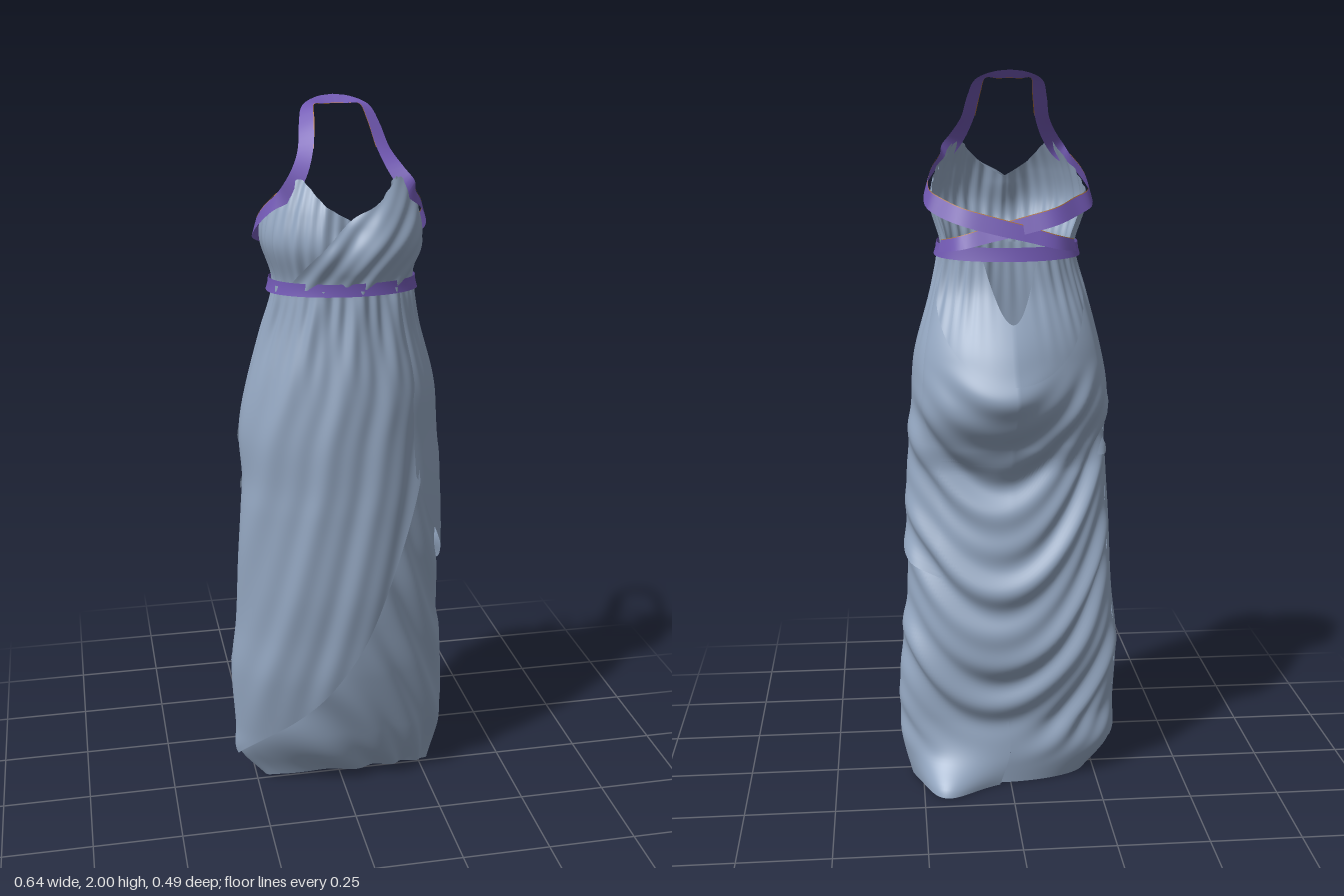
import * as THREE from 'three';
import { mergeVertices } from 'three/addons/utils/BufferGeometryUtils.js';

const RAD = Math.PI / 180;
const { sin, cos, exp, abs, max, min, PI } = Math;
const smooth = THREE.MathUtils.smoothstep;

// Body sections: [y, right x, left x, front z, back z, centre z]
const SECTIONS = [
  [0.00, -0.22, 0.28, 0.03, -0.12, -0.02],
  [0.10, -0.30, 0.305, 0.095, -0.13, -0.02],
  [0.20, -0.305, 0.315, 0.135, -0.125, -0.01],
  [0.40, -0.315, 0.305, 0.185, -0.165, 0.00],
  [0.55, -0.30, 0.29, 0.205, -0.165, 0.01],
  [0.70, -0.29, 0.28, 0.22, -0.15, 0.02],
  [0.92, -0.28, 0.27, 0.225, -0.115, 0.03],
  [1.00, -0.275, 0.265, 0.225, -0.155, 0.03],
  [1.13, -0.28, 0.255, 0.225, -0.228, 0.02],
  [1.25, -0.26, 0.245, 0.22, -0.19, 0.02],
  [1.41, -0.215, 0.205, 0.205, -0.095, 0.03],
  [1.50, -0.19, 0.185, 0.20, -0.07, 0.05],
  [1.55, -0.185, 0.18, 0.20, -0.068, 0.05],
  [1.65, -0.215, 0.205, 0.23, -0.07, 0.05],
  [1.73, -0.205, 0.195, 0.215, -0.07, 0.04],
  [1.82, -0.17, 0.165, 0.17, -0.07, 0.04],
];

// Smooth cubic lookup: rows start with the key, the rest are values
function lookup(rows, key) {
  const n = rows.length;
  const t = min(max(key, rows[0][0]), rows[n - 1][0]);
  let i = 0;
  while (i < n - 2 && t > rows[i + 1][0]) i++;
  const a = rows[i], b = rows[i + 1], h = b[0] - a[0], s = (t - a[0]) / h;
  const slope = (k, c) => {
    const p = rows[max(k - 1, 0)], q = rows[min(k + 1, n - 1)];
    return (q[c] - p[c]) / (q[0] - p[0]);
  };
  return a.slice(1).map((v, j) => {
    const s2 = s * s, s3 = s2 * s;
    return v * (2 * s3 - 3 * s2 + 1) + b[j + 1] * (3 * s2 - 2 * s3)
      + h * (slope(i, j + 1) * (s3 - 2 * s2 + s) + slope(i + 1, j + 1) * (s3 - s2));
  });
}

// Point on the body at angle a (0 = front, +90 degrees = left), pushed out by d
function bodyPoint(a, y, d) {
  const [xr, xl, zf, zb, cz] = lookup(SECTIONS, y);
  const s = sin(a);
  // squarer back around the waist
  const c = cos(a) > 0 ? cos(a) : -(abs(cos(a)) ** (1 - 0.4 * smooth(y, 1.4, 1.54)));
  let x = (xl + xr) / 2 + ((xl - xr) / 2 + d) * s;
  let z = cz + ((c > 0 ? zf - cz : cz - zb) + d) * c;
  // trailing hem corner
  const tail = exp(-(((a - 2.55) / 0.42) ** 2) - (y / 0.07) ** 2);
  x += 0.02 * tail;
  z -= 0.10 * tail;
  // flatter right hip at the back
  z += 0.08 * max(0, -s) * max(0, -c) * exp(-(((y - 1.13) / 0.2) ** 2));
  // hollow between the cups
  z -= 0.035 * exp(-((a / 0.25) ** 2)) * smooth(y, 1.58, 1.7);
  return [x, y, z];
}

function meshFrom(name, material, pos, index) {
  let g = new THREE.BufferGeometry();
  g.setAttribute('position', new THREE.Float32BufferAttribute(pos, 3));
  g.setIndex(index);
  g = mergeVertices(g, 1e-5);
  g.computeVertexNormals();
  const mesh = new THREE.Mesh(g, material);
  mesh.name = name;
  return mesh;
}

// Cloth sheet between two heights over a range of angles
function sheet(name, material, { from, to, bottom, top, push, cols = 140, rows = 90 }) {
  const pos = [], index = [];
  for (let j = 0; j <= rows; j++) for (let i = 0; i <= cols; i++) {
    const a = from + (to - from) * i / cols;
    const y0 = bottom(a), y = y0 + (top(a) - y0) * j / rows;
    pos.push(...bodyPoint(a, y, push(a, y)));
    if (i < cols && j < rows) {
      const k = j * (cols + 1) + i, m = k + cols + 1;
      index.push(k, k + 1, m + 1, k, m + 1, m);
    }
  }
  return meshFrom(name, material, pos, index);
}

// Flat ribbon between two offsets along each row's half-width vector
function ribbon(name, material, rows, mirror, from = -1, to = 1, n = 80) {
  const edge = (k) => new THREE.CatmullRomCurve3(rows.map(([x, y, z, u, v, w]) =>
    new THREE.Vector3((x + k * u) * mirror, y + k * v, z + k * w)));
  const lo = edge(from), hi = edge(to), pos = [], index = [];
  for (let i = 0; i <= n; i++) {
    pos.push(...lo.getPoint(i / n).toArray(), ...hi.getPoint(i / n).toArray());
    const k = 2 * i;
    if (i < n) index.push(...(mirror > 0
      ? [k, k + 2, k + 3, k, k + 3, k + 1] : [k, k + 3, k + 2, k, k + 1, k + 3]));
  }
  return meshFrom(name, material, pos, index);
}

function colour(name, hex) {
  const m = new THREE.MeshStandardMaterial({ color: hex, side: THREE.DoubleSide });
  m.name = name;
  return m;
}

export function createModel() {
  const cloth = colour('blue grey cloth', 0x93a6c0);
  const purple = colour('purple ribbon', 0x7259b4);
  const orange = colour('orange trim', 0xb5722e);
  const dress = new THREE.Group();
  dress.name = 'dress';

  // Waist, with a small V opening at the centre back
  const waist = (a) => 1.54 - 0.2 * smooth(abs(a), 148 * RAD, 180 * RAD);
  const gathers = (a, y) => (0.002 * sin(a * 37 + y * 6) + 0.0015 * sin(a * 23 - y * 9))
    * smooth(y, 1.2, 1.5) * (1 - smooth(abs(a), 150 * RAD, 175 * RAD));
  // U-shaped swags across the back
  const swags = (a, y) => {
    const back = smooth(abs(a), 70 * RAD, 130 * RAD) * smooth(y, 0.05, 0.25) * (1 - smooth(y, 1.05, 1.25));
    const p = y - 0.3 * sin(a) ** 2 + 0.05 * sin(a);
    return back * (0.008 * sin(34 * p) + 0.006 * sin(55 * p + 2 * sin(a)));
  };

  dress.add(sheet('skirt', cloth, {
    from: -PI, to: PI, cols: 200, rows: 150, top: waist,
    bottom: (a) => 0.004 + 0.025 * max(0, cos(a)) ** 1.5,
    push: (a, y) => {
      const front = 1 - smooth(abs(a), 60 * RAD, 95 * RAD);
      const arcs = 0.009 * sin(24 * (y + 0.42 * sin(a) + 0.3 * sin(a) ** 2));
      return swags(a, y) + gathers(a, y) + front * (arcs - 0.012) * (1 - smooth(y, 0.8, 1.1));
    },
  }));

  // Wrapped front panel with a diagonal lower edge
  const wrapEdge = [[-100, 0.10], [-80, 0.10], [-50, 0.19], [-19, 0.32], [4, 0.50], [24, 0.74], [43, 1.0]];
  dress.add(sheet('frontWrap', cloth, {
    from: -100 * RAD, to: 43 * RAD, top: waist,
    bottom: (a) => lookup(wrapEdge, a / RAD)[0],
    push: (a, y) => {
      const p = sin(a) * 0.29 - 0.2 * y;
      const folds = 0.004 * sin(40 * p) + 0.002 * sin(85 * p + 1);
      return 0.013 * smooth(a, -100 * RAD, -75 * RAD) * (1 - 0.5 * smooth(y, 1.3, 1.54))
        + folds * smooth(a, -100 * RAD, -70 * RAD) * smooth(y, 0.1, 0.5) + gathers(a, y);
    },
  }));

  // Draped panel over the left hip
  const hipEdge = [[40, 1.02], [55, 0.87], [90, 0.71], [135, 0.62]];
  dress.add(sheet('hipDrape', cloth, {
    from: 40 * RAD, to: 135 * RAD, cols: 80, top: waist,
    bottom: (a) => lookup(hipEdge, a / RAD)[0],
    push: (a, y) => swags(a, y) + gathers(a, y)
      + 0.012 * (1 - smooth(a, 110 * RAD, 135 * RAD)) * (1 - 0.6 * smooth(y, 1.2, 1.5)),
  }));

  // Cowl fold slung across the back
  dress.add(sheet('backCowl', cloth, {
    from: 100 * RAD, to: 260 * RAD, rows: 40, bottom: () => 0.95,
    top: (a) => 1.5 - 0.31 * (max(0, -cos(a)) - 0.17) / 0.83,
    push: (a, y) => swags(a, y) + 0.012 * smooth(y, 0.95, 1.1) * smooth(-cos(a), 0.17, 0.5),
  }));

  // Gathered bodice with a sweetheart neckline and open back
  const neckline = [[0, 1.715], [18, 1.75], [48, 1.815], [65, 1.76], [90, 1.70], [114, 1.65]];
  const neck = (a) => lookup(neckline, abs(a) / RAD)[0];
  dress.add(sheet('bodice', cloth, {
    from: -114 * RAD, to: 114 * RAD, rows: 40, top: neck, bottom: () => 1.53,
    push: (a, y) => 0.0025 * sin(a * 34 + y * 14 * Math.sign(a)) + 0.0015 * sin(a * 21 - y * 20),
  }));
  // Left cup crossing over the right
  const crossTop = [[-55, 1.545], [-30, 1.62], [0, 1.72], [18, 1.755], [48, 1.815], [65, 1.76], [90, 1.70]];
  dress.add(sheet('crossedCup', cloth, {
    from: -55 * RAD, to: 90 * RAD, rows: 40, top: (a) => lookup(crossTop, a / RAD)[0],
    bottom: () => 1.53,
    push: (a, y) => {
      const p = y - 0.26 * sin(a);
      return 0.009 * (1 - smooth(a, 50 * RAD, 90 * RAD)) + 0.002 * sin(60 * p) + 0.0015 * sin(97 * p);
    },
  }));

  // Band below the bust
  dress.add(sheet('waistBand', purple, {
    from: -PI, to: PI, cols: 96, rows: 2,
    bottom: (a) => 1.515 + 0.012 * cos(a), top: (a) => 1.55 + 0.01 * cos(a),
    push: (a, y) => 0.014 - 0.15 * (y - 1.53),
  }));

  // Straps: from the neck along the neckline, crossing at the back
  for (const m of [1, -1]) {
    const neckRows = [
      [0, 1.99, -0.081, 0, 0.01, -0.012],
      [0.037, 1.987, -0.075, 0.006, 0.008, -0.011],
      [0.074, 1.978, -0.045, 0.014, -0.002, -0.008],
      [0.088, 1.94, 0.008, 0.018, -0.006, -0.008],
      [0.101, 1.88, 0.068, 0.019, -0.002, -0.007],
      [0.128, 1.825, 0.118, 0.018, 0.010, -0.005],
      [0.158, 1.785, 0.136, 0.012, 0.018, -0.004],
    ];
    const sideRows = [64, 77, 90, 104].map((deg) => {
      const a = deg * RAD;
      const [x, y, z] = bodyPoint(m * a, neck(a) - 0.006, 0.015);
      return [x * m, y, z, -0.006 * sin(a), 0.021, -0.006 * cos(a)];
    });
    const backRows = [
      [0.185, 1.645, -0.035, -0.006, 0.022, 0.004],
      [0.13, 1.622, -0.073, -0.002, 0.022, 0.007],
      [0.05, 1.60, -0.083 - 0.003 * m, 0, 0.022, 0.007],
      [-0.05, 1.575, -0.083 - 0.003 * m, 0, 0.02, 0.007],
      [-0.13, 1.553, -0.075, 0.002, 0.018, 0.006],
      [-0.185, 1.54, -0.02, 0.004, 0.016, 0],
    ];
    const lower = [...sideRows, ...backRows];
    dress.add(
      ribbon('strap', purple, [...neckRows, ...lower], m),
      ribbon('backStrapTrim', orange, lower, m, 1, 1.1),
      ribbon('neckStrapTrim', orange, neckRows.slice(0, 5), m, -1.1, -1),
    );
  }
  return dress;
}
